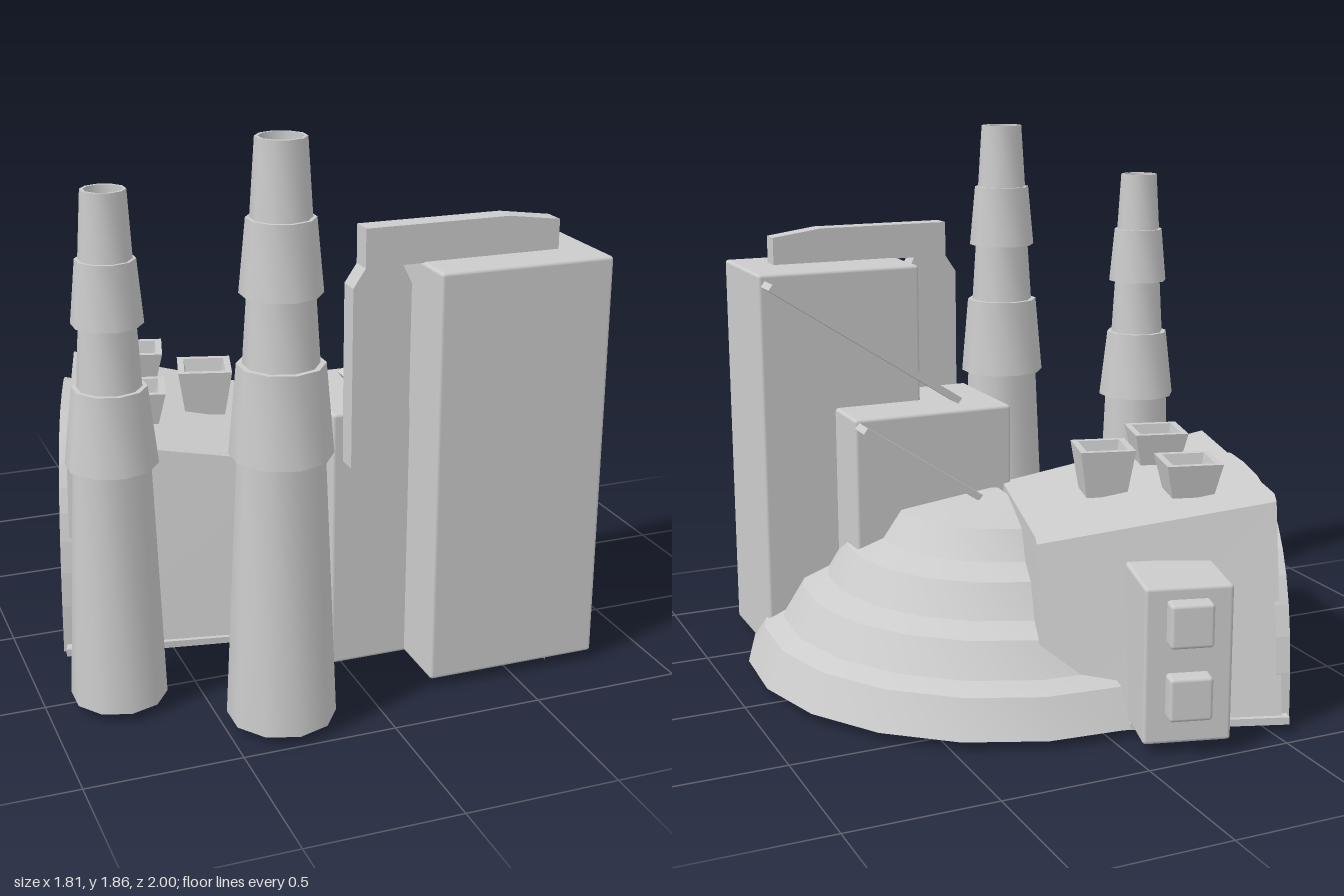
import * as THREE from 'three';
import { RoundedBoxGeometry } from 'three/addons/geometries/RoundedBoxGeometry.js';
import { toCreasedNormals } from 'three/addons/utils/BufferGeometryUtils.js';

const smooth = new THREE.MeshStandardMaterial({ color: 0xcccccc });
const thin = new THREE.MeshStandardMaterial({ color: 0xcccccc, side: THREE.DoubleSide });
const flat = new THREE.MeshStandardMaterial({ color: 0xcccccc, flatShading: true, side: THREE.DoubleSide });

function add(parent, name, geometry, material = flat, x = 0, y = 0, z = 0) {
  const mesh = new THREE.Mesh(geometry, material);
  mesh.name = name;
  mesh.position.set(x, y, z);
  parent.add(mesh);
  return mesh;
}

const points = (list) => list.map(([x, y]) => new THREE.Vector2(x, y));

// Rounded block given by its limits on each axis
function block(parent, name, [x0, x1], [y0, y1], [z0, z1], radius = 0.012) {
  return add(parent, name, new RoundedBoxGeometry(x1 - x0, y1 - y0, z1 - z0, 2, radius), smooth,
    (x0 + x1) / 2, (y0 + y1) / 2, (z0 + z1) / 2);
}

// Flat outline in x and y, given thickness from z0 to z1
function slab(parent, name, outline, z0, z1) {
  const geometry = new THREE.ExtrudeGeometry(new THREE.Shape(points(outline)), { depth: z1 - z0, bevelEnabled: false });
  return add(parent, name, geometry, flat, 0, 0, z0);
}

// Smooth chimney of three tapering sections with flared collars, a recessed mouth and an open foot
function chimney(parent, name, x, z, profile) {
  const [r, y] = profile[profile.length - 1];
  const full = [...profile, [r - 0.01, y], [r - 0.01, y - 0.15], [0, y - 0.15]];
  const geometry = toCreasedNormals(new THREE.LatheGeometry(points(full), 10), 0.66);
  add(parent, name, geometry, thin, x, 0, z);
}

// Arch-shaped curve, running from +x over the top to -x
function arch(halfWidth, height) {
  const list = [];
  for (let i = 0; i <= 20; i++) {
    const a = (Math.PI * i) / 20;
    const c = Math.cos(a);
    list.push([halfWidth * Math.sign(c) * Math.abs(c) ** 0.7, height * Math.max(0, Math.sin(a)) ** 0.8]);
  }
  return list;
}

// Extrudes an outline along local x, then shrinks it towards the far end
function tunnel(outline, start, length) {
  const geometry = new THREE.ExtrudeGeometry(new THREE.Shape(points(outline)), { depth: length, bevelEnabled: false });
  geometry.translate(0, 0, start).rotateY(Math.PI / 2);
  const p = geometry.attributes.position;
  for (let i = 0; i < p.count; i++) {
    const t = p.getX(i) / 0.77;
    p.setY(i, 0.03 * (1 - t) + p.getY(i) * (1 - 0.15 * t));
    p.setZ(i, p.getZ(i) * (1 - 0.21 * t));
  }
  geometry.computeVertexNormals();
  return geometry;
}

export function createModel() {
  const model = new THREE.Group();
  model.name = 'factory';

  // Tower blocks
  block(model, 'tallTower', [0.205, 0.797], [0.03, 1.403], [0.38, 0.812]);
  block(model, 'lowTower', [-0.06, 0.53], [0.03, 0.91], [0.17, 0.6]);

  // Duct over the tall tower and down in front of the low one
  slab(model, 'duct', [
    [-0.025, 0.75], [0.17, 0.75], [0.17, 1.34], [0.14, 1.4], [0.677, 1.4],
    [0.677, 1.5], [0.5, 1.525], [0.015, 1.525], [0.015, 1.4], [-0.025, 1.34],
  ], 0.597, 0.67);

  // Sloping conveyors behind the towers
  const conveyors = [[0.09, 0.91, 0.795, 1.385, 0.265, 0.358], [0.09, 0.595, 0.53, 0.9, 0.08, 0.172]];
  for (const [x0, y0, x1, y1, z0, z1] of conveyors) {
    slab(model, 'conveyor', [[x0, y0 + 0.02], [x0 + 0.015, y0], [x1, y1 - 0.02], [x1 - 0.015, y1]], z0, z1);
  }

  // Chimneys
  chimney(model, 'shortChimney', -0.763, 0.531, [
    [0.154, 0.03], [0.121, 0.82], [0.145, 0.82], [0.116, 1.07], [0.1, 1.07],
    [0.088, 1.27], [0.111, 1.27], [0.092, 1.47], [0.082, 1.47], [0.069, 1.68],
  ]);
  chimney(model, 'tallChimney', -0.315, 0.823, [
    [0.172, 0.03], [0.134, 0.9], [0.159, 0.9], [0.134, 1.185], [0.116, 1.185],
    [0.102, 1.4], [0.125, 1.4], [0.104, 1.625], [0.092, 1.625], [0.077, 1.86],
  ]);

  // Stepped mound, hollow, running from the towers round to the hall
  const mound = [
    [0.91, 0.03], [0.85, 0.155], [0.78, 0.185], [0.71, 0.295], [0.62, 0.33],
    [0.55, 0.44], [0.44, 0.475], [0.37, 0.57], [0, 0.615],
  ];
  const moundShell = new THREE.LatheGeometry(points(mound), 8, 0.75, Math.PI - 0.68);
  add(model, 'steppedMound', toCreasedNormals(moundShell, 0.6), thin, 0, 0, 0.15);

  // Hollow hall, turned and tapering to its closed far end
  const hall = new THREE.Group();
  hall.name = 'hall';
  hall.position.set(-0.69, 0, -0.34);
  hall.rotation.y = -0.264;
  model.add(hall);
  const outer = [[-0.6, 0], [-0.465, 0.71], [-0.44, 0.73], [0.44, 0.73], [0.465, 0.71], [0.6, 0]];
  const inner = [[0.575, 0], [0.44, 0.7], [-0.44, 0.7], [-0.575, 0]];
  add(hall, 'hallShell', tunnel([...outer, ...inner], 0, 0.77));
  add(hall, 'farWall', tunnel(outer.map(([x, y]) => [x * 0.99, Math.max(y, 0.04)]), 0.74, 0.029));

  // Arched opening: end plate and raised frame
  add(hall, 'archedEndPlate', tunnel([...outer, ...arch(0.53, 0.67)], 0, 0.03));
  add(hall, 'archFrame', tunnel([...arch(0.575, 0.715).reverse(), ...arch(0.52, 0.66)], -0.03, 0.045));

  // Feet of the hall walls
  for (const side of [-1, 1]) {
    const foot = [[side * 0.56, 0], [side * 0.56, 0.025], [side * 0.612, 0.025], [side * 0.612, 0]];
    add(hall, 'wallFoot', tunnel(foot, -0.02, 0.7));
  }

  // Open hoppers on the roof: place, base height
  for (const [x, z, y] of [[-0.4, -0.51, 0.72], [-0.225, -0.23, 0.67], [-0.51, -0.09, 0.72]]) {
    const profile = [[0, y], [0.07, y], [0.095, 0.835], [0.072, 0.835], [0.062, 0.78], [0, 0.78]]
      .map(([half, h]) => [half * Math.SQRT2, h]);
    const hopper = add(model, 'roofHopper', new THREE.LatheGeometry(points(profile), 4), flat, x, 0, z);
    hopper.rotation.y = Math.PI / 4 - 0.264;
  }

  // Cabinet on the back wall with two raised panels
  block(hall, 'cabinet', [0.205, 0.49], [0.035, 0.552], [-0.708, -0.425]);
  for (const y of [0.2, 0.44]) {
    block(hall, 'cabinetPanel', [0.28, 0.42], [y - 0.072, y + 0.072], [-0.765, -0.69]);
  }

  return model;
}
